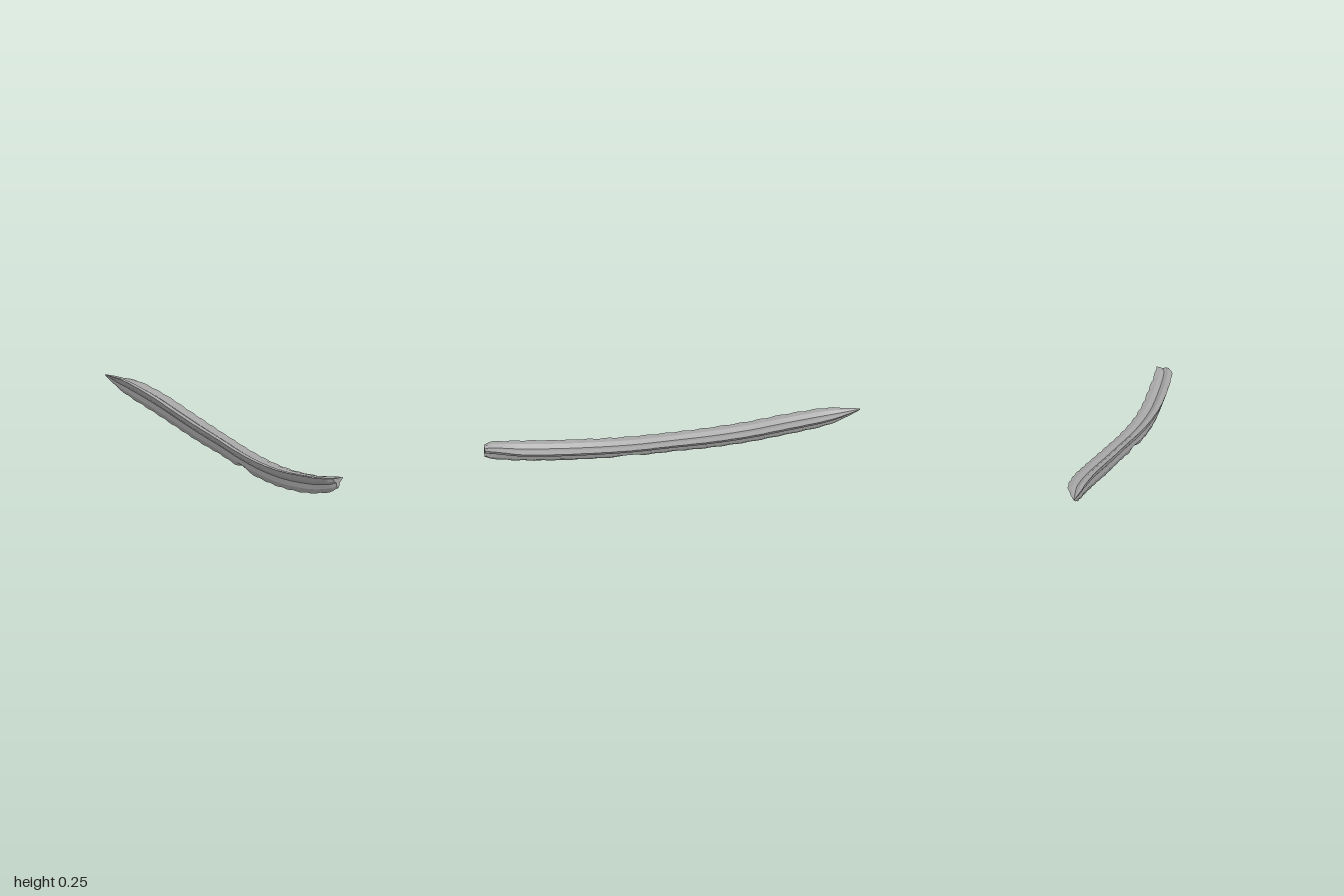
import * as THREE from 'three';

// Stations along the stem: centre x, centre y, z, rib radius
const STATIONS = [
  [0.018, 0.133, 1.0, 0.038], [-0.002, 0.118, 0.95, 0.052], [-0.019, 0.089, 0.8, 0.061],
  [-0.031, 0.07, 0.6, 0.062], [-0.029, 0.068, 0.4, 0.061], [-0.018, 0.079, 0.2, 0.06],
  [-0.006, 0.101, 0.0, 0.059], [0.004, 0.122, -0.2, 0.062], [0.011, 0.15, -0.4, 0.063],
  [0.01, 0.184, -0.6, 0.063], [0.001, 0.212, -0.8, 0.056], [-0.013, 0.223, -0.9, 0.036],
  [-0.03, 0.238, -1.0, 0.004],
];
const RINGS = (STATIONS.length - 1) * 8;
const SIDES = 12;

// Quarter of a rib, repeated three times round: tip, shoulder, valley, shoulder
const RIB = [[0, 1], [22, 0.68], [60, 0.36], [98, 0.68]];

function stemGeometry() {
  const path = new THREE.CatmullRomCurve3(
    STATIONS.map(([x, y, z]) => new THREE.Vector3(x, y, z)), false, 'catmullrom');
  const size = new THREE.CatmullRomCurve3(
    STATIONS.map(([, , , r]) => new THREE.Vector3(r, 0, 0)), false, 'catmullrom');
  const positions = [];
  const index = [];

  for (let i = 0; i <= RINGS; i++) {
    const t = i / RINGS;
    const c = path.getPoint(t);
    const r = size.getPoint(t).x;
    // the ribs roll slightly clockwise behind the cut end
    const roll = -10 * Math.min(1, (1 - c.z) / 0.2);
    // scalloped rib edges, with one nick in the lower rib
    const scallop = 0.96 + 0.1 * Math.abs(Math.sin(Math.PI * c.z / 0.1 + 0.4));
    const nick = 1 - 0.32 * Math.max(0, 1 - Math.abs(c.z - 0.225) / 0.06);
    for (let j = 0; j < SIDES; j++) {
      const rib = Math.floor(j / 4);
      const [angle, reach] = RIB[j % 4];
      let d = r * reach;
      if (j % 4 === 0) d *= scallop * (rib === 1 ? nick : 1);
      const a = THREE.MathUtils.degToRad(150 + rib * 120 + angle + roll);
      positions.push(c.x + d * Math.cos(a), c.y + d * Math.sin(a), c.z);
    }
  }

  // skin between neighbouring rings
  for (let i = 0; i < RINGS; i++) {
    for (let j = 0; j < SIDES; j++) {
      const k = (j + 1) % SIDES;
      const a = i * SIDES + j, b = i * SIDES + k;
      const c = a + SIDES, d = b + SIDES;
      index.push(a, c, b, b, c, d);
    }
  }

  // close both ends
  for (const [ring, t] of [[0, 0], [RINGS, 1]]) {
    const centre = positions.length / 3;
    const p = path.getPoint(t);
    positions.push(p.x, p.y, p.z);
    for (let j = 0; j < SIDES; j++) {
      const a = ring * SIDES + j, b = ring * SIDES + (j + 1) % SIDES;
      if (ring === 0) index.push(centre, a, b);
      else index.push(centre, b, a);
    }
  }

  const geometry = new THREE.BufferGeometry();
  geometry.setAttribute('position', new THREE.Float32BufferAttribute(positions, 3));
  geometry.setIndex(index);
  const flat = geometry.toNonIndexed();
  flat.computeVertexNormals();
  return flat;
}

export function createModel() {
  const grey = new THREE.MeshStandardMaterial({ color: 0xa6a6a6 });
  grey.name = 'stem grey';

  const stem = new THREE.Mesh(stemGeometry(), grey);
  stem.name = 'ribbedStem';

  const model = new THREE.Group();
  model.name = 'threeRibbedStem';
  model.add(stem);
  return model;
}
